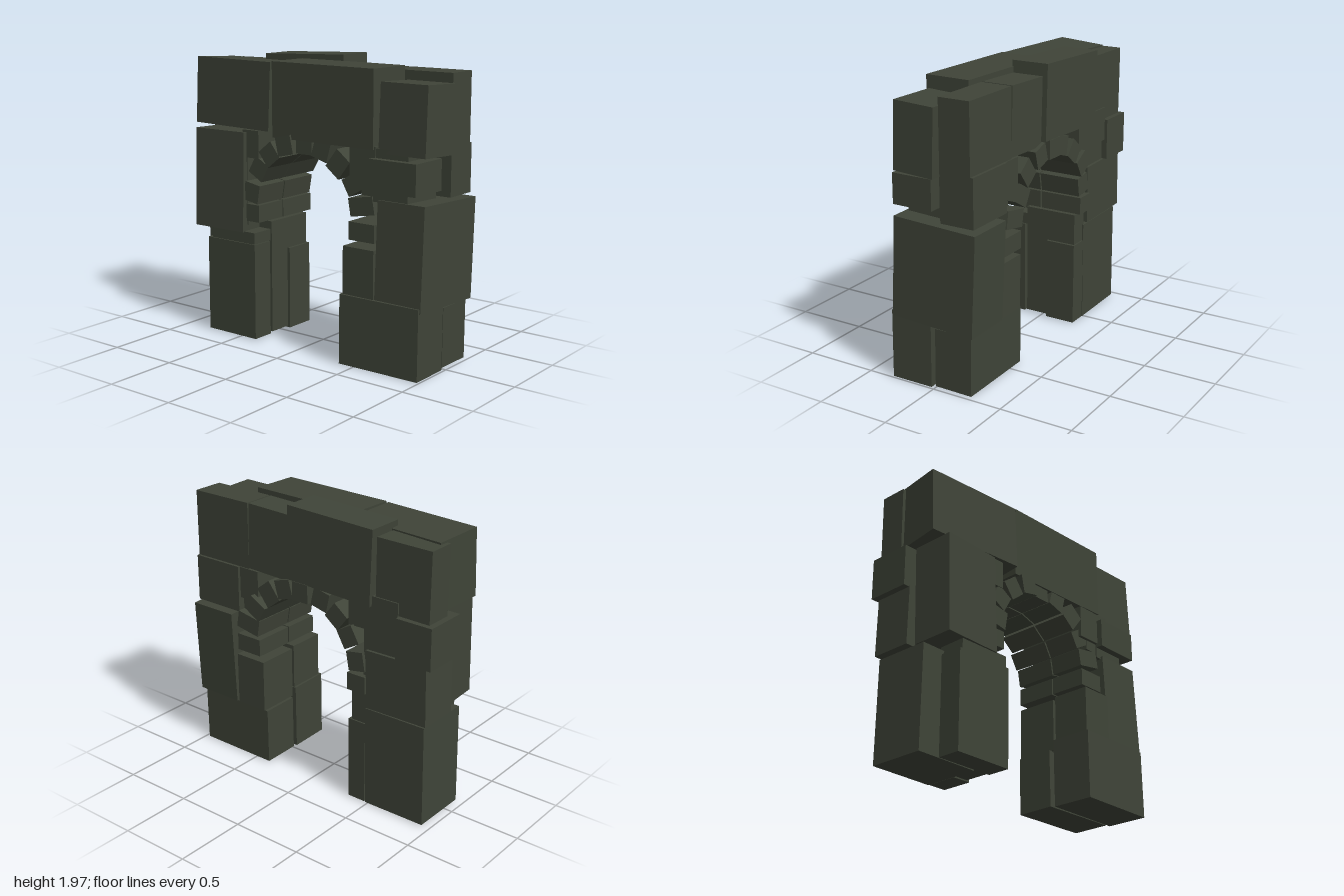
import * as THREE from 'three';

export function createModel() {
  const model = new THREE.Group();
  model.name = 'stoneArch';
  const stone = new THREE.MeshStandardMaterial({ color: 0x3f4438, flatShading: true });
  stone.name = 'dark stone';

  // a stone given by its extents on x, y and z, with a slight turn about its middle
  const block = (name, [x0, x1], [y0, y1], [z0, z1], rx = 0, ry = 0, rz = 0) => {
    const mesh = new THREE.Mesh(new THREE.BoxGeometry(x1 - x0, y1 - y0, z1 - z0), stone);
    mesh.position.set((x0 + x1) / 2, (y0 + y1) / 2, (z0 + z1) / 2);
    mesh.rotation.set(rx, ry, rz);
    mesh.name = name;
    model.add(mesh);
  };

  // front pillar
  block('frontBaseLeft', [0, 0.27], [0.01, 0.41], [0.38, 0.97], 0, 0, -0.01);
  block('frontBaseRight', [-0.325, -0.03], [0.005, 0.475], [0.385, 0.985], 0, 0.02, -0.01);
  block('frontMiddle', [-0.29, 0.31], [0.43, 1.105], [0.645, 0.995], 0, 0, -0.045);
  block('frontInnerLeft', [-0.02, 0.28], [0.41, 0.78], [0.4, 0.64]);
  block('frontInnerRight', [-0.31, -0.04], [0.43, 0.795], [0.4, 0.64]);
  block('frontUpperLeft', [0.06, 0.3], [1.12, 1.445], [0.59, 0.97]);
  block('frontUpperRight', [-0.31, -0.02], [1.175, 1.38], [0.6, 0.95]);
  block('frontUpperCore', [-0.26, 0.06], [1.1, 1.44], [0.6, 0.86]);

  // back pillar
  block('backBaseLeft', [-0.13, 0.27], [0.01, 0.715], [-0.94, -0.48], 0.012);
  block('backBaseRight', [-0.3, -0.14], [0.01, 0.68], [-0.79, -0.36]);
  block('backBaseCap', [-0.29, -0.1], [0.68, 0.76], [-0.76, -0.37]);
  block('backBaseInner', [0.05, 0.27], [0.01, 0.595], [-0.475, -0.34]);
  block('backInner', [-0.12, 0.26], [0.02, 0.815], [-0.5, -0.36]);
  block('backMiddleLeft', [0, 0.29], [0.735, 1.14], [-0.955, -0.49], 0.02);
  block('backMiddleRight', [-0.295, 0], [0.75, 1.44], [-0.9, -0.47], 0, 0.03, -0.03);
  block('backUpperLeft', [0.005, 0.31], [1.14, 1.425], [-0.995, -0.73]);
  block('backUpperCore', [-0.05, 0.27], [1.13, 1.45], [-0.86, -0.47]);

  // filling stones above the haunches of the arch
  block('frontHaunchLeft', [0, 0.28], [1.22, 1.44], [0.43, 0.59]);
  block('frontHaunchRight', [-0.27, 0], [1.2, 1.45], [0.42, 0.62]);
  block('frontHaunchLow', [-0.25, 0.25], [1.13, 1.24], [0.5, 0.6]);
  block('backHaunchLeft', [0.03, 0.29], [1.28, 1.515], [-0.73, -0.35]);
  block('backHaunchRight', [-0.25, 0.03], [1.27, 1.46], [-0.5, -0.36]);
  block('backHaunchLow', [-0.25, 0.27], [0.8, 1.28], [-0.55, -0.46]);

  // top course
  block('topFrontLeft', [0.06, 0.28], [1.445, 1.905], [0.505, 0.97]);
  block('topFrontRight', [-0.255, 0.04], [1.405, 1.85], [0.64, 0.995], 0, -0.03, -0.04);
  block('topSecondLeft', [0.06, 0.28], [1.445, 1.9], [0.13, 0.5], -0.03);
  block('topKeyLeft', [0.055, 0.315], [1.46, 1.965], [-0.54, 0.135], -0.035);
  block('topBackLeft', [0.09, 0.28], [1.43, 1.9], [-0.96, -0.555], -0.01);
  block('topBackRight', [-0.235, 0.11], [1.46, 1.92], [-0.95, -0.23], 0, -0.09, -0.05);
  block('topMiddleRight', [-0.265, 0.06], [1.43, 1.935], [-0.23, 0.615], 0, -0.035);

  // arch stones: z, y, radial angle in degrees, radial length, thickness
  const ring = [
    [0.515, 0.89, 0, 0.2, 0.12], [0.505, 1.055, 10, 0.19, 0.12],
    [0.43, 1.19, 30, 0.14, 0.12], [0.325, 1.31, 52, 0.15, 0.13],
    [0.18, 1.385, 74, 0.13, 0.13], [0.03, 1.405, 90, 0.13, 0.13],
    [-0.12, 1.385, 103, 0.13, 0.13], [-0.26, 1.31, 128, 0.13, 0.13],
    [-0.365, 1.2, 150, 0.13, 0.13], [-0.41, 1.035, 170, 0.13, 0.13],
    [-0.425, 0.89, 180, 0.14, 0.12],
  ];
  ring.forEach(([z, y, deg, len, thick], i) => {
    const rx = -THREE.MathUtils.degToRad(deg);
    const out = i % 3 * 0.012;
    const ys = [y - thick / 2, y + thick / 2], zs = [z - len / 2, z + len / 2];
    block('archStoneLeft', [0, 0.295 + out], ys, zs, rx);
    block('archStoneRight', [-0.27 + out, -0.01], ys, zs, rx);
  });

  return model;
}
